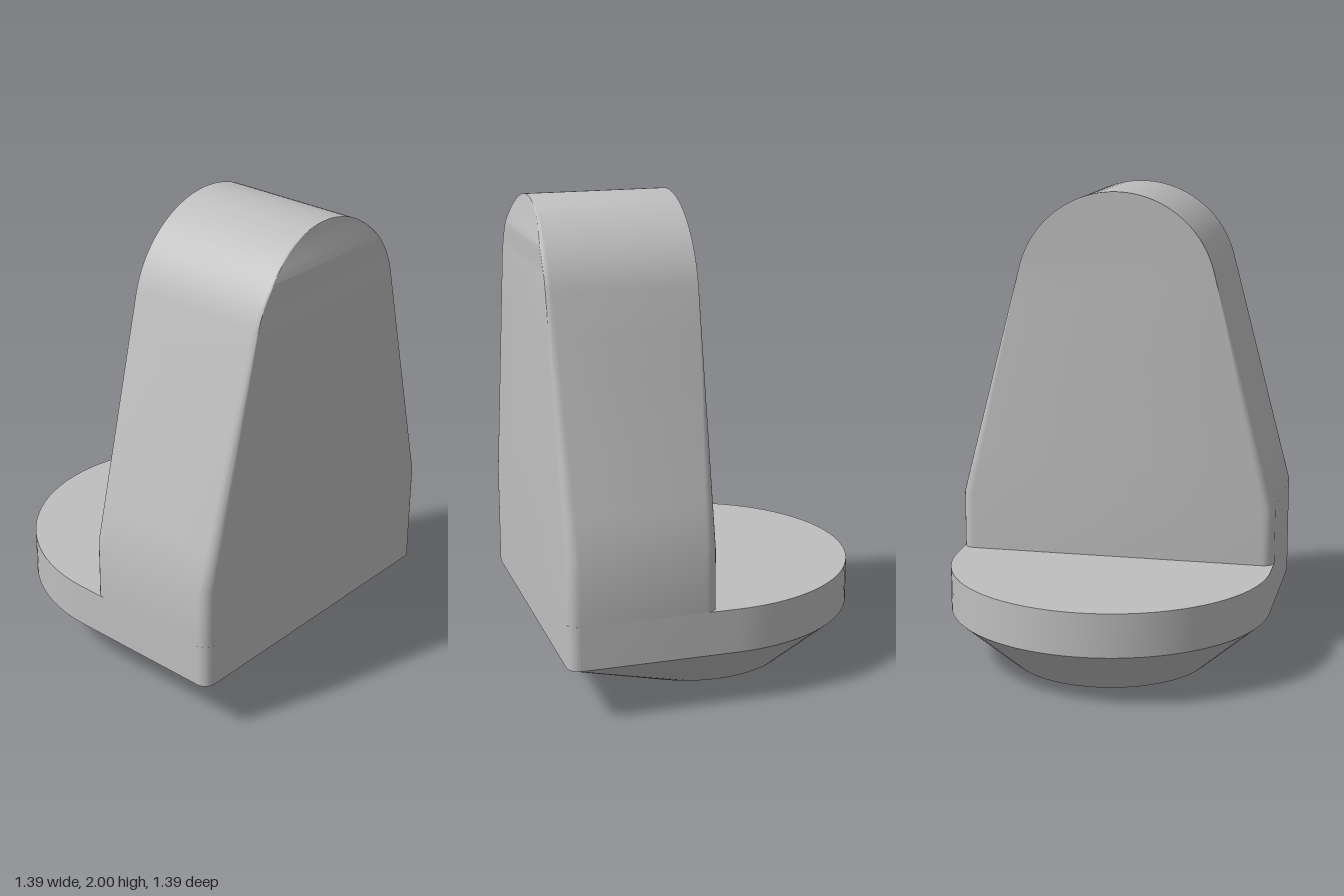
import * as THREE from 'three';
import { toCreasedNormals } from 'three/addons/utils/BufferGeometryUtils.js';

const R = 0.693;          // half width of the base
const FOOT_R = 0.435;     // radius of the round foot
const CREASE = 0.35;
const BACK_X = 0.08;      // inner face of the upright

// Skin a stack of rings ({ y, pts: [[x, z], ...] }), optionally closing the ends
function loft(rings, capped) {
  const pos = [];
  const tri = (a, b, c) => {
    const area = b.clone().sub(a).cross(c.clone().sub(a)).length();
    if (area > 1e-9) for (const p of [a, b, c]) pos.push(p.x, p.y, p.z);
  };
  const rows = rings.map(({ y, pts }) => pts.map(([x, z]) => new THREE.Vector3(x, y, z)));
  const n = rows[0].length;
  for (let i = 0; i < rows.length - 1; i++) {
    for (let j = 0; j < n; j++) {
      const k = (j + 1) % n;
      tri(rows[i][j], rows[i + 1][j], rows[i][k]);
      tri(rows[i + 1][j], rows[i + 1][k], rows[i][k]);
    }
  }
  if (capped) {
    const low = rows[0], high = rows[rows.length - 1];
    const c0 = new THREE.Vector3(0, low[0].y, 0), c1 = new THREE.Vector3(0, high[0].y, 0);
    for (let j = 0; j < n; j++) {
      const k = (j + 1) % n;
      tri(c0, low[j], low[k]);
      tri(c1, high[k], high[j]);
    }
  }
  const geo = new THREE.BufferGeometry();
  geo.setAttribute('position', new THREE.Float32BufferAttribute(pos, 3));
  return toCreasedNormals(geo, CREASE);
}

// Four quarter arcs, each with its own centre and radii, joined by straight edges
function arcRing(corners, steps) {
  const pts = [];
  corners.forEach(([cx, cz, rx, rz], q) => {
    for (let i = 0; i <= steps; i++) {
      const t = (q + i / steps) * Math.PI / 2;
      pts.push([cx + rx * Math.cos(t), cz + rz * Math.sin(t)]);
    }
  });
  return pts;
}

// Base: half round, half square plate narrowing to a round foot
function baseGeometry() {
  const f = 0.05, c = R - f;
  const plate = arcRing([[c, c, f, f], [0, 0, R, R], [0, 0, R, R], [c, -c, f, f]], 20);
  const round = [0, 0, FOOT_R, FOOT_R];
  const foot = arcRing([round, round, round, round], 20);
  return loft([{ y: 0, pts: foot }, { y: 0.225, pts: plate }, { y: 0.41, pts: plate }], true);
}

// Upright: tapered slab with a round top; the edge rounding fades out upwards
function uprightGeometry() {
  const r = 0.435, bend = 0.66, tilt = 0.263;
  const tangentY = 2 - r + r * Math.sin(tilt), tangentW = r * Math.cos(tilt);
  const levels = [[0.41, R], [bend, R]];
  for (let i = 1; i <= 6; i++) {
    const t = i / 6;
    levels.push([THREE.MathUtils.lerp(bend, tangentY, t), THREE.MathUtils.lerp(R, tangentW, t)]);
  }
  for (let i = 1; i <= 24; i++) {
    const a = THREE.MathUtils.lerp(tilt, Math.PI / 2, i / 24);
    levels.push([2 - r + r * Math.sin(a), r * Math.cos(a)]);
  }
  const rings = levels.map(([y, w]) => {
    const fade = THREE.MathUtils.clamp((y - bend) / (tangentY - bend), 0, 1);
    const lean = 0.025 * Math.max(0, (y - 1.84) / 0.16);
    const x1 = R - lean;
    const inner = 0.05 * (1 - fade);
    const rx = Math.max(0, THREE.MathUtils.lerp(0.05, 0.025, fade) - lean);
    const rz = Math.min(w, THREE.MathUtils.lerp(0.05, 0.01, fade));
    return { y, pts: arcRing([
      [x1 - rx, w - rz, rx, rz],
      [BACK_X + inner, w - inner, inner, inner],
      [BACK_X + inner, -w + inner, inner, inner],
      [x1 - rx, -w + rz, rx, rz],
    ], 6) };
  });
  return loft(rings, false);
}

export function createModel() {
  const group = new THREE.Group();
  const grey = new THREE.MeshStandardMaterial({ color: 0xbfbfbf });
  grey.name = 'light grey';
  const add = (name, geometry) => {
    const mesh = new THREE.Mesh(geometry, grey);
    mesh.name = name;
    group.add(mesh);
  };
  add('base', baseGeometry());
  add('upright', uprightGeometry());
  return group;
}
